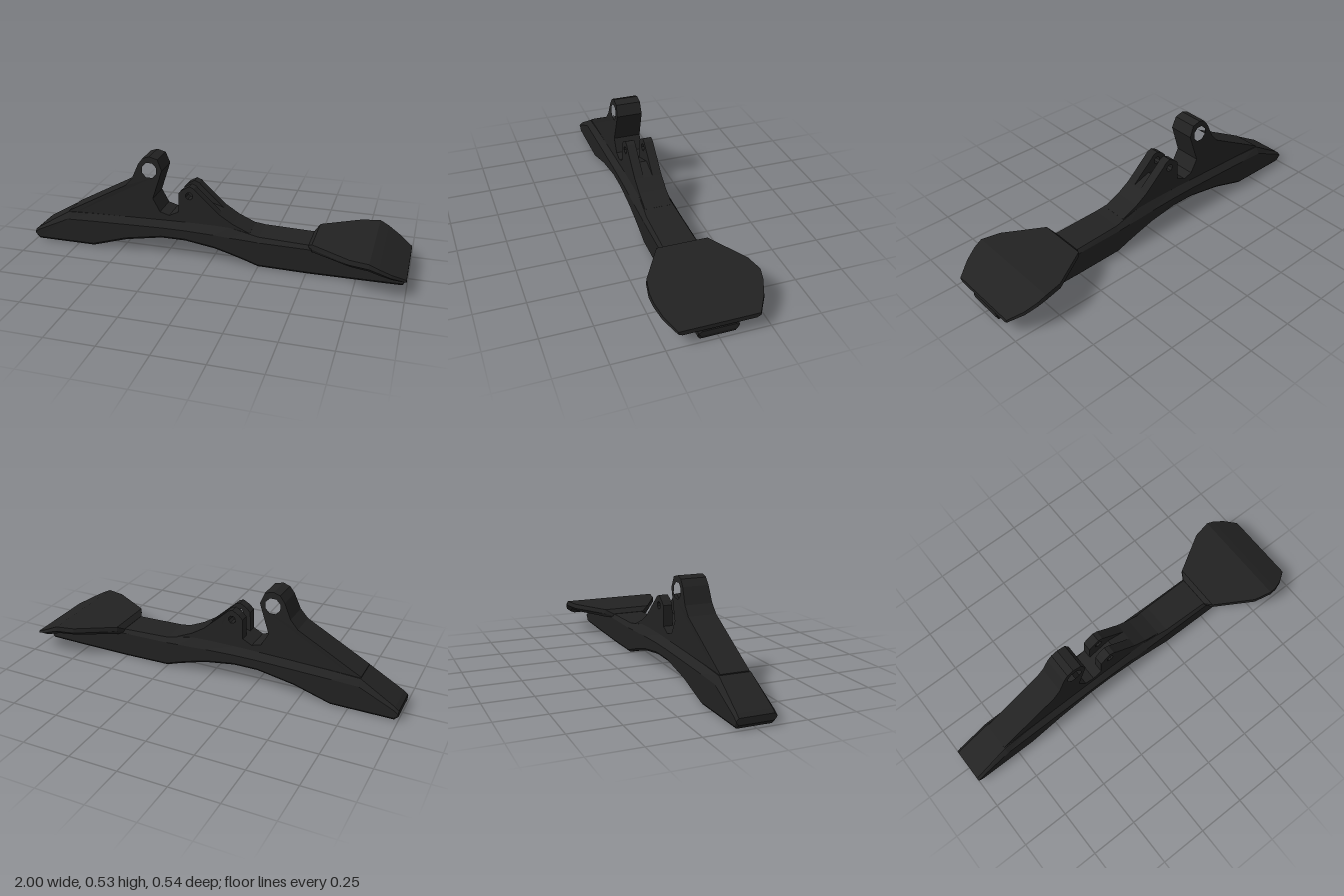
import * as THREE from 'three';

const material = new THREE.MeshStandardMaterial({ color: 0x222222, flatShading: true });

function addMesh(parent, name, geometry) {
  const mesh = new THREE.Mesh(geometry, material);
  mesh.name = name;
  parent.add(mesh);
  return mesh;
}

// Skin along x: each station is { x, half }, half = [z, y] points of the +z side, bottom to top.
function loftAlongX(stations) {
  const rings = stations.map(({ x, half }) => [
    ...half.map(([z, y]) => [x, y, z]),
    ...half.slice().reverse().map(([z, y]) => [x, y, -z]),
  ]);
  const pos = [];
  const tri = (...pts) => pts.forEach((p) => pos.push(...p));
  const n = rings[0].length;
  for (let i = 0; i < rings.length - 1; i++) {
    for (let j = 0; j < n; j++) {
      const k = (j + 1) % n;
      const [a, b, c, d] = [rings[i][j], rings[i][k], rings[i + 1][k], rings[i + 1][j]];
      tri(a, d, c);
      tri(a, c, b);
    }
  }
  const first = rings[0], last = rings[rings.length - 1];
  for (let j = 1; j < n - 1; j++) {
    tri(first[0], first[j], first[j + 1]);
    tri(last[0], last[j + 1], last[j]);
  }
  const geometry = new THREE.BufferGeometry();
  geometry.setAttribute('position', new THREE.Float32BufferAttribute(pos, 3));
  geometry.computeVertexNormals();
  return geometry;
}

// Side outline with an optional round hole, extruded from z0 to z1 and narrowed towards the top.
function sidePlate(points, hole, z0, z1) {
  const shape = new THREE.Shape(points.map(([x, y]) => new THREE.Vector2(x, y)));
  if (hole) {
    const [hx, hy, r] = hole;
    const path = new THREE.Path();
    path.absarc(hx, hy, r, Math.PI / 8, Math.PI * 2 + Math.PI / 8, true);
    shape.holes.push(path);
  }
  const geometry = new THREE.ExtrudeGeometry(shape, { depth: z1 - z0, bevelEnabled: false, curveSegments: 4 });
  geometry.translate(0, 0, z0);
  const p = geometry.attributes.position;
  for (let i = 0; i < p.count; i++) {
    const t = THREE.MathUtils.clamp((p.getY(i) - 0.38) / 0.16, 0, 1);
    p.setZ(i, p.getZ(i) * (1 - 0.1 * t));
  }
  geometry.computeVertexNormals();
  return geometry;
}

export function createModel() {
  const model = new THREE.Group();
  model.name = 'archedRestWithBracket';

  // Arched beam: x, bottom y, shoulder y, top y, top half width
  const beam = [
    [-1.0, 0.03, 0.05, 0.062, 0.085],
    [-0.98, 0.01, 0.065, 0.078, 0.085],
    [-0.8, 0.01, 0.15, 0.185, 0.078],
    [-0.66, 0.01, 0.155, 0.19, 0.074],
    [-0.47, 0.068, 0.16, 0.195, 0.072],
    [-0.27, 0.104, 0.165, 0.2, 0.072],
    [-0.14, 0.104, 0.165, 0.203, 0.072],
    [0.02, 0.08, 0.16, 0.203, 0.072],
    [0.1, 0.058, 0.155, 0.2, 0.072],
    [0.18, 0.034, 0.152, 0.185, 0.076],
    [0.25, 0.01, 0.148, 0.173, 0.082],
    [0.5, 0.006, 0.145, 0.165, 0.085],
    [0.83, 0.008, 0.14, 0.155, 0.085],
    [0.98, 0.01, 0.06, 0.078, 0.085],
    [0.993, 0.035, 0.05, 0.06, 0.08],
  ];
  addMesh(model, 'beam', loftAlongX(beam.map(([x, bottom, shoulder, top, w]) => ({
    x,
    half: [[0.085, bottom], [0.095, bottom + 0.012], [0.098, shoulder], [w, top]],
  }))));

  // Flared pad: x, half width, underside y, rim y, top y
  const pad = [
    [0.508, 0.09, 0.148, 0.155, 0.166],
    [0.53, 0.13, 0.145, 0.165, 0.19],
    [0.73, 0.248, 0.145, 0.165, 0.19],
    [0.825, 0.268, 0.142, 0.165, 0.19],
    [0.87, 0.262, 0.125, 0.148, 0.168],
    [0.93, 0.24, 0.1, 0.118, 0.135],
    [1.0, 0.195, 0.074, 0.084, 0.096],
  ];
  addMesh(model, 'pad', loftAlongX(pad.map(([x, w, under, rim, top]) => ({
    x,
    half: [[w * 0.9, under], [w, rim], [w * 0.99, top]],
  }))));

  // Bracket with the tall lug; its low end is the floor of the slot between the prongs
  const bracket = new THREE.Group();
  bracket.name = 'bracket';
  model.add(bracket);
  const slotFloor = [[-0.18, 0.255], [-0.06, 0.3], [0.04, 0.266]];
  addMesh(bracket, 'tallLug', sidePlate([
    [-0.8, 0.16], [-0.8, 0.19], [-0.47, 0.37], [-0.43, 0.415], [-0.395, 0.495], [-0.37, 0.528],
    [-0.335, 0.54], [-0.29, 0.528], [-0.267, 0.47], [-0.318, 0.315], [-0.28, 0.245], [-0.23, 0.23],
    ...slotFloor, [0.11, 0.222], [0.2, 0.182], [0.2, 0.16],
  ], [-0.335, 0.467, 0.042], -0.072, 0.072));

  // Pair of short prongs either side of the slot
  const prong = [
    ...slotFloor, [-0.08, 0.376], [-0.095, 0.392], [-0.12, 0.402], [-0.155, 0.382], [-0.177, 0.36],
  ];
  for (const [name, z0, z1] of [['frontProng', 0.024, 0.072], ['backProng', -0.072, -0.024]]) {
    addMesh(bracket, name, sidePlate(prong, [-0.12, 0.35, 0.02], z0, z1));
  }

  return model;
}
